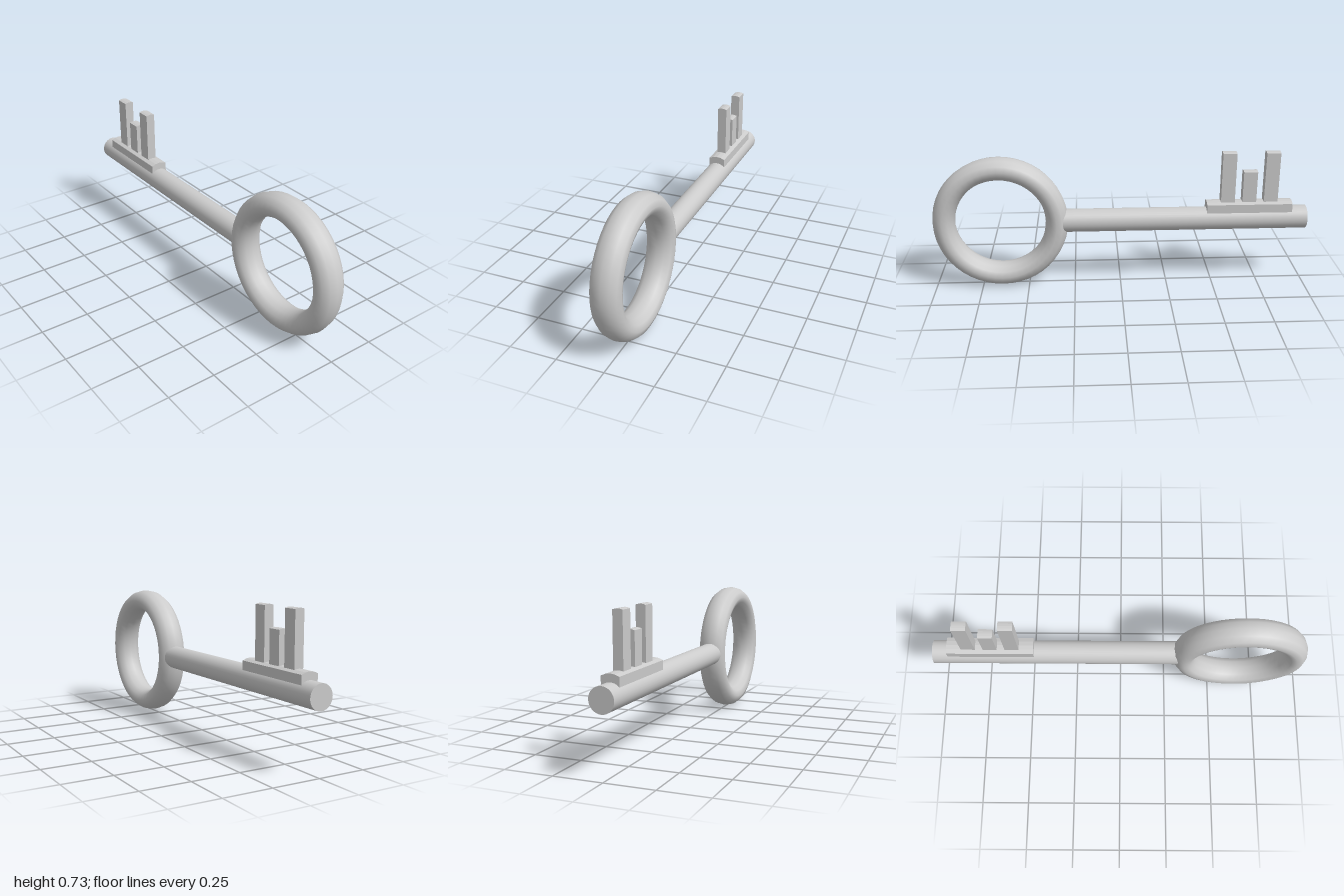
import * as THREE from 'three';

const AXIS_Y = 0.364; // height of the shaft axis and ring centre

export function createModel() {
  const key = new THREE.Group();
  key.name = 'key';
  const material = new THREE.MeshStandardMaterial({ color: 0xcccccc });

  const add = (name, geometry, x, y, z) => {
    const mesh = new THREE.Mesh(geometry, material);
    mesh.name = name;
    mesh.position.set(x, y, z);
    key.add(mesh);
    return mesh;
  };

  // Bar with a gently crowned top, running along z from z0 to z1
  const crownedBar = (name, halfWidth, bottom, top, drop, z0, z1) => {
    const shape = new THREE.Shape();
    shape.moveTo(-halfWidth, bottom);
    shape.lineTo(halfWidth, bottom);
    shape.lineTo(halfWidth, top - drop);
    shape.quadraticCurveTo(0, top + drop, -halfWidth, top - drop);
    shape.closePath();
    const geometry = new THREE.ExtrudeGeometry(shape, {
      depth: z1 - z0, bevelEnabled: false, curveSegments: 4,
    });
    return add(name, geometry, 0, 0, z0);
  };

  // Ring handle: torus in the yz plane, widened sideways
  const ring = new THREE.TorusGeometry(0.3, 0.06, 12, 48);
  ring.scale(1, 1, 1.28);
  ring.rotateY(Math.PI / 2);
  add('ringHandle', ring, 0, AXIS_Y - 0.001, 0.64);

  // Round shaft, its front end buried in the ring
  const shaftEnd = 0.34;
  const shaft = new THREE.CylinderGeometry(0.062, 0.062, shaftEnd + 1, 32);
  shaft.rotateX(Math.PI / 2);
  add('shaft', shaft, 0, AXIS_Y, (shaftEnd - 1) / 2);

  // Raised pad and the three teeth standing on it
  crownedBar('toothPad', 0.045, 0.4, 0.465, 0.012, -0.917, -0.46);
  [[-0.572, 0.736], [-0.687, 0.633], [-0.802, 0.736]].forEach(([z, top], i) => {
    crownedBar(`tooth${i + 1}`, 0.025, 0.44, top, 0.005, z - 0.037, z + 0.037);
  });

  return key;
}
